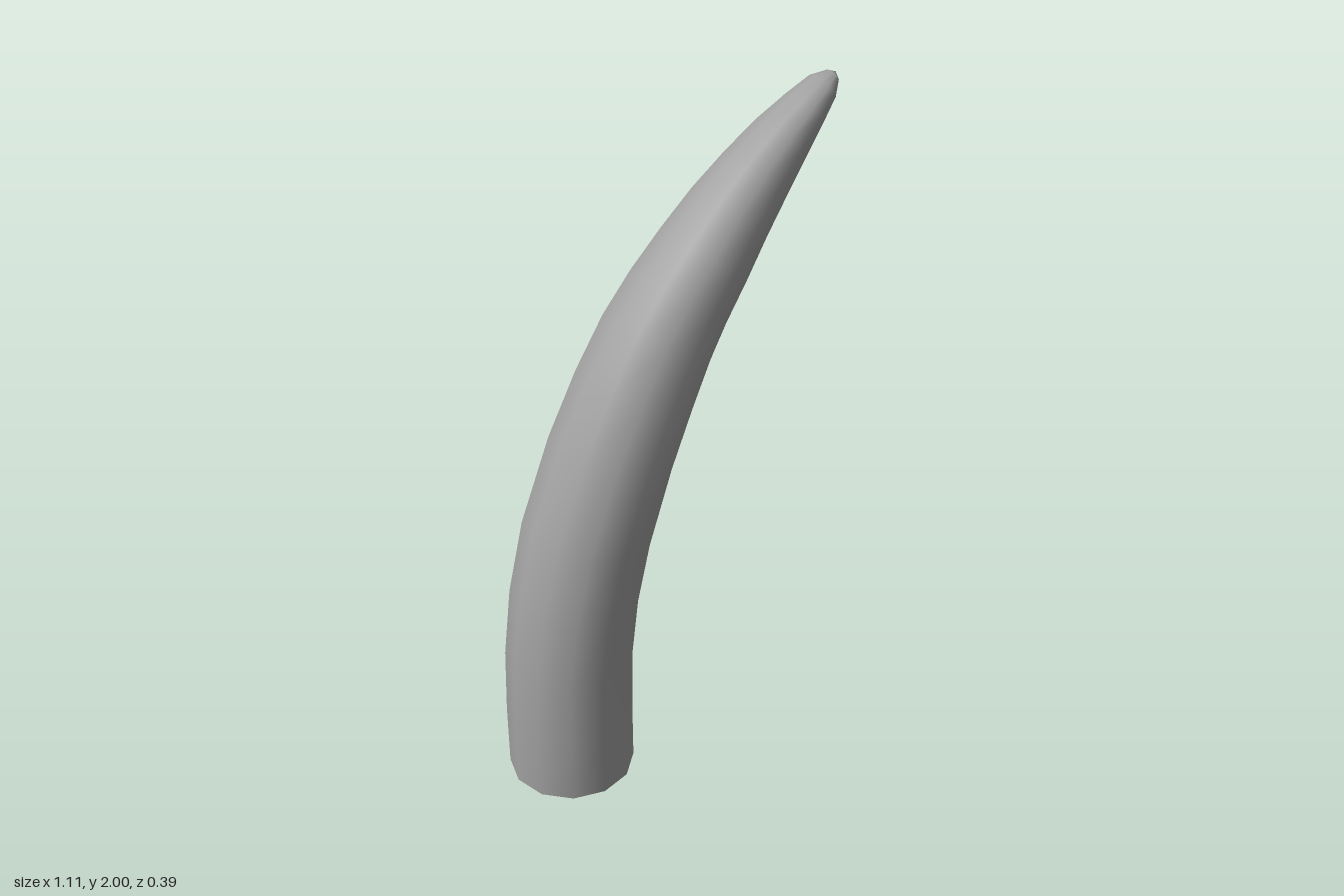
import * as THREE from 'three';

const SIDES = 12;

// Rings along the curve: centre x, y, z, radius in the bend plane, radius across it
const RINGS = [
  [-0.368, 0.00, 0.012, 0.188, 0.188],
  [-0.369, 0.20, 0.012, 0.188, 0.188],
  [-0.364, 0.40, 0.011, 0.187, 0.188],
  [-0.340, 0.60, 0.009, 0.187, 0.188],
  [-0.293, 0.80, 0.004, 0.187, 0.187],
  [-0.205, 1.04, -0.007, 0.181, 0.184],
  [-0.122, 1.215, -0.019, 0.174, 0.176],
  [-0.045, 1.355, -0.030, 0.165, 0.166],
  [0.030, 1.463, -0.040, 0.154, 0.155],
  [0.112, 1.566, -0.050, 0.141, 0.144],
  [0.195, 1.665, -0.062, 0.125, 0.128],
  [0.282, 1.755, -0.075, 0.107, 0.110],
  [0.367, 1.840, -0.085, 0.086, 0.092],
  [0.445, 1.908, -0.096, 0.063, 0.073],
  [0.505, 1.957, -0.104, 0.045, 0.053],
  [0.541, 1.982, -0.108, 0.020, 0.025],
];
const TIP = [0.552, 1.990, -0.110];

// Corners of one ring, set square to the direction of the curve
function ringPoints(i) {
  const at = (k) => new THREE.Vector3(...RINGS[Math.min(Math.max(k, 0), RINGS.length - 1)]);
  const along = i === 0 ? new THREE.Vector3(0, 1, 0) : at(i + 1).sub(at(i - 1)).normalize();
  const across = new THREE.Vector3(0, 0, 1).addScaledVector(along, -along.z).normalize();
  const outward = new THREE.Vector3().crossVectors(along, across);
  const [, , , r, rAcross] = RINGS[i];
  return Array.from({ length: SIDES }, (_, j) => {
    const a = (j / SIDES) * Math.PI * 2 - 0.105;
    return at(i)
      .addScaledVector(outward, Math.cos(a) * r)
      .addScaledVector(across, Math.sin(a) * rAcross);
  });
}

function buildMesh(name, points, index, material) {
  const geometry = new THREE.BufferGeometry().setFromPoints(points);
  geometry.setIndex(index);
  geometry.computeVertexNormals();
  const mesh = new THREE.Mesh(geometry, material);
  mesh.name = name;
  return mesh;
}

export function createModel() {
  const group = new THREE.Group();
  group.name = 'horn';
  const material = new THREE.MeshStandardMaterial({ color: 0xa0a0a0 });

  // Curved, tapering body closed by a blunt tip
  const points = RINGS.flatMap((_, i) => ringPoints(i));
  const index = [];
  for (let i = 0; i < RINGS.length - 1; i++) {
    for (let j = 0; j < SIDES; j++) {
      const a = i * SIDES + j;
      const b = i * SIDES + ((j + 1) % SIDES);
      index.push(a, a + SIDES, b, b, a + SIDES, b + SIDES);
    }
  }
  const last = (RINGS.length - 1) * SIDES;
  const tip = points.push(new THREE.Vector3(...TIP)) - 1;
  for (let j = 0; j < SIDES; j++) index.push(last + j, tip, last + ((j + 1) % SIDES));
  group.add(buildMesh('hornBody', points, index, material));

  // Flat base, kept separate for a sharp rim
  const base = ringPoints(0);
  const centre = base.push(new THREE.Vector3(...RINGS[0])) - 1;
  const baseIndex = [];
  for (let j = 0; j < SIDES; j++) baseIndex.push(centre, j, (j + 1) % SIDES);
  group.add(buildMesh('hornBase', base, baseIndex, material));

  return group;
}
